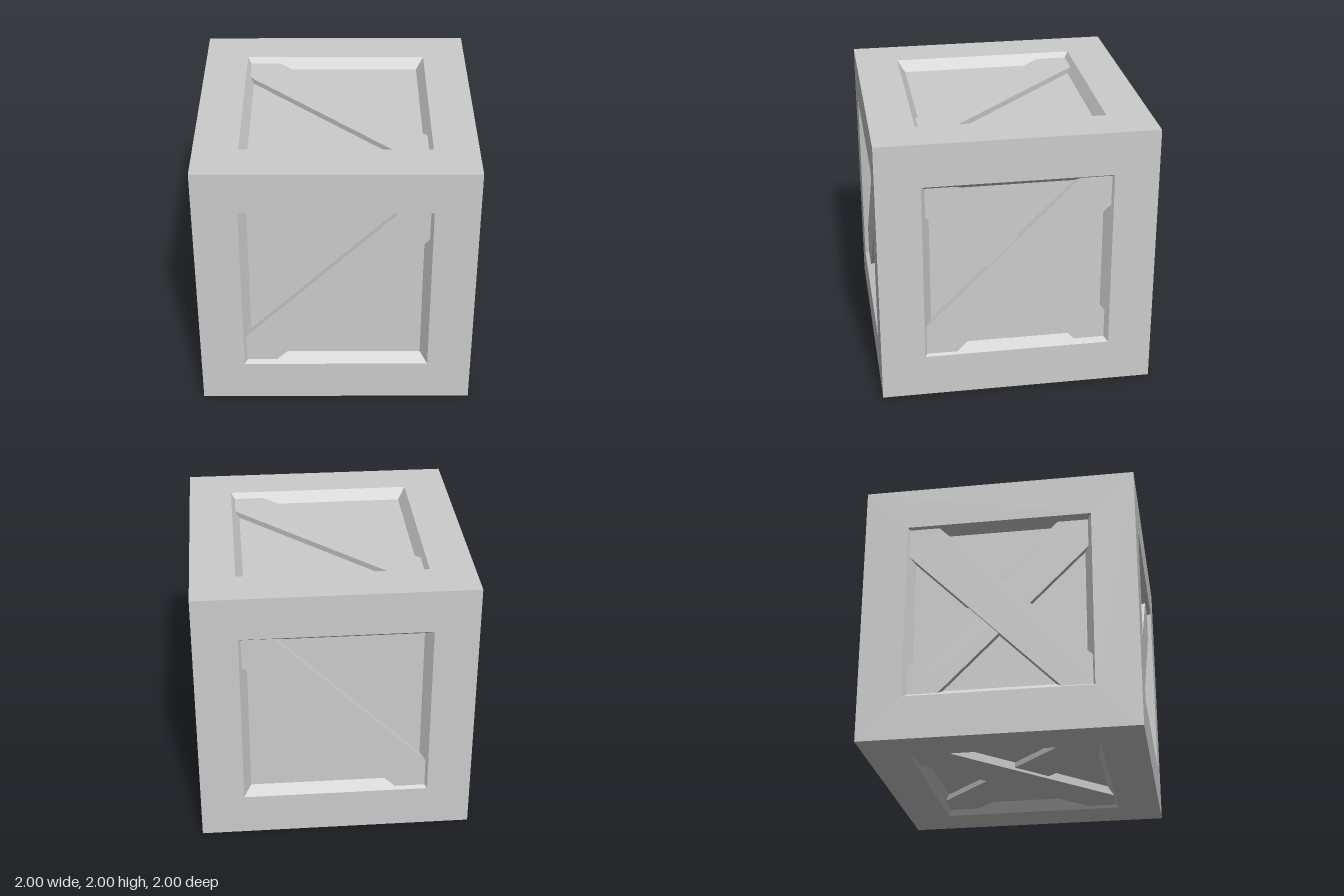
import * as THREE from 'three';

const FLOOR = 0.92;   // height of the recessed panel above the cube centre
const OPEN = 0.68;    // half width of the frame opening
const INNER = 0.625;  // half width of the panel at the bottom of the recess

// Square frame with sloping inner walls and a recessed panel, facing +z
function frameGeometry() {
  const profile = [[1, 1], [OPEN, 1], [INNER, FLOOR], [0, FLOOR]]
    .map(([r, y]) => new THREE.Vector2(r * Math.SQRT2, y));
  const geometry = new THREE.LatheGeometry(profile, 4, Math.PI / 4).toNonIndexed();
  geometry.rotateX(Math.PI / 2);
  geometry.computeVertexNormals();
  return geometry;
}

// Diagonal plank rising from lower left to upper right; its ends fit into the corners
function plankGeometry(depth) {
  const h = OPEN - depth * (OPEN - INNER) / (1 - FLOOR);
  const w = 0.222;
  const shape = new THREE.Shape([
    [-h, -h], [w - h, -h], [h, h - w], [h, h], [h - w, h], [-h, w - h],
  ].map(([x, y]) => new THREE.Vector2(x, y)));
  const geometry = new THREE.ExtrudeGeometry(shape, { depth: 1 - depth - FLOOR, bevelEnabled: false });
  geometry.translate(0, 0, FLOOR);
  return geometry;
}

// Each side: rotation, then planks as [depth below the frame, slope direction]
const Q = Math.PI / 2;
const SIDES = [
  { name: 'front', rotation: [0, 0, 0], planks: [[0.03, 1]] },
  { name: 'back', rotation: [0, Math.PI, 0], planks: [[0.025, -1]] },
  { name: 'leftSide', rotation: [0, Q, 0], planks: [[0.02, 1], [0.04, -1]] },
  { name: 'rightSide', rotation: [0, -Q, 0], planks: [[0.02, -1], [0.04, 1]] },
  { name: 'top', rotation: [-Q, 0, 0], planks: [[0.04, -1]] },
  { name: 'bottom', rotation: [Q, 0, 0], planks: [[0.02, 1], [0.04, -1]] },
];

export function createModel() {
  const grey = new THREE.MeshStandardMaterial({ color: 0xcccccc });
  grey.name = 'light grey';

  const crate = new THREE.Group();
  crate.name = 'crate';
  const frame = frameGeometry();

  for (const { name, rotation, planks } of SIDES) {
    const side = new THREE.Group();
    side.name = name;
    side.position.y = 1;
    side.rotation.set(...rotation);

    const panel = new THREE.Mesh(frame, grey);
    panel.name = 'framedPanel';
    side.add(panel);

    planks.forEach(([depth, slope], i) => {
      const plank = new THREE.Mesh(plankGeometry(depth), grey);
      plank.name = i === 0 ? 'diagonalPlank' : 'crossPlank';
      if (slope < 0) plank.rotation.z = Q;
      side.add(plank);
    });
    crate.add(side);
  }
  return crate;
}
